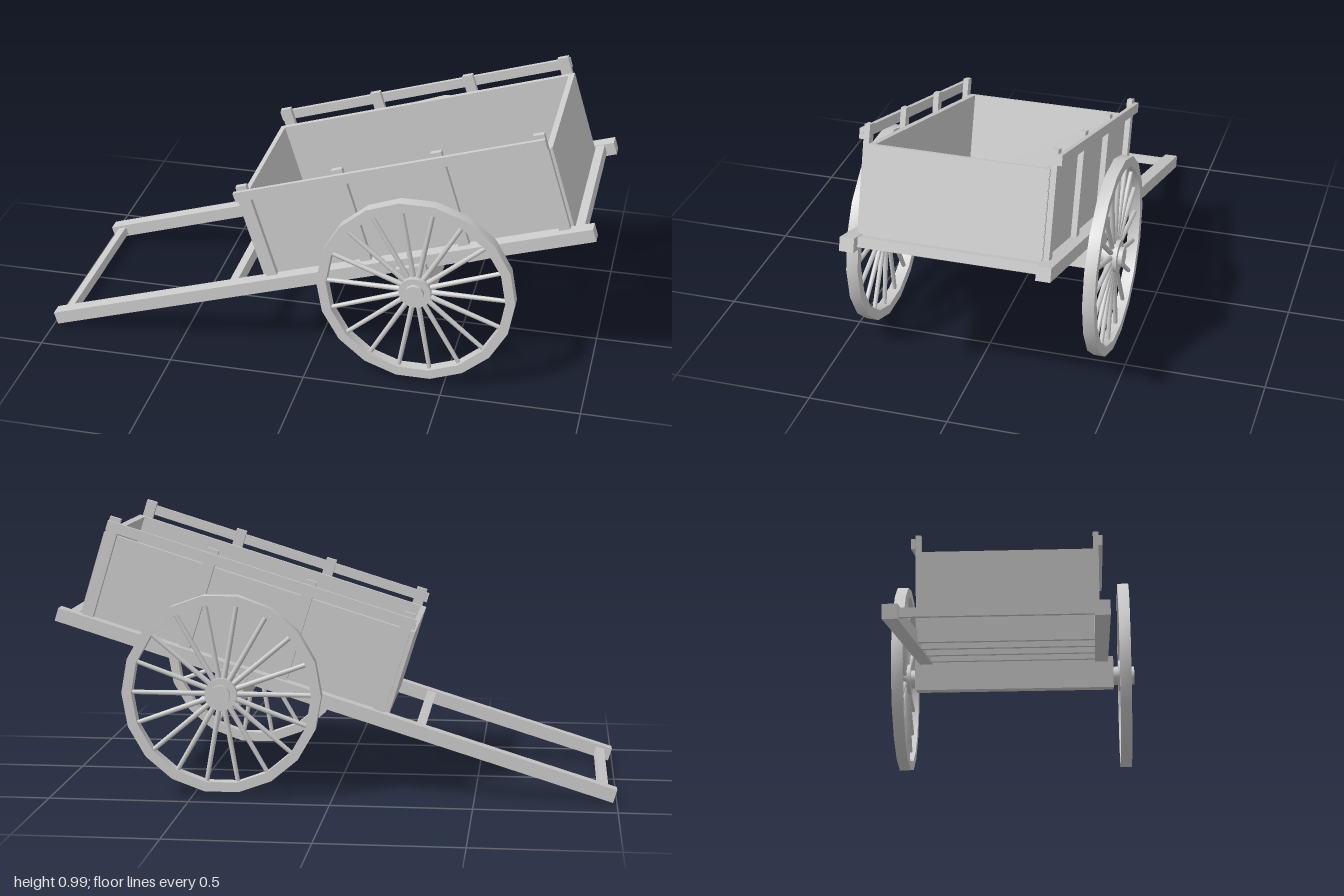
import * as THREE from 'three';
import { toCreasedNormals } from 'three/addons/utils/BufferGeometryUtils.js';

const material = new THREE.MeshStandardMaterial({ color: 0xcccccc });

// Box given by its extents along x, y and z
function board(parent, name, [x0, x1], [y0, y1], [z0, z1]) {
  const mesh = new THREE.Mesh(new THREE.BoxGeometry(x1 - x0, y1 - y0, z1 - z0), material);
  mesh.name = name;
  mesh.position.set((x0 + x1) / 2, (y0 + y1) / 2, (z0 + z1) / 2);
  parent.add(mesh);
}

// Cylinder along z
function drum(parent, name, radius, z0, z1) {
  const geometry = new THREE.CylinderGeometry(radius, radius, z1 - z0, 18).rotateX(Math.PI / 2);
  const mesh = new THREE.Mesh(geometry, material);
  mesh.name = name;
  mesh.position.z = (z0 + z1) / 2;
  parent.add(mesh);
}

function polygon(radius, sides, Type) {
  const points = [];
  for (let i = 0; i < sides; i++) {
    const a = (i / sides) * Math.PI * 2;
    points.push(new THREE.Vector2(Math.cos(a) * radius, Math.sin(a) * radius));
  }
  return new Type(points);
}

function createWheel(name, side) {
  const wheel = new THREE.Group();
  wheel.name = name;
  const count = 18;

  // Rim
  const ring = polygon(0.355, count, THREE.Shape);
  ring.holes.push(polygon(0.32, count, THREE.Path));
  const rimGeometry = toCreasedNormals(
    new THREE.ExtrudeGeometry(ring, { depth: 0.042, bevelEnabled: false }), 0.6);
  const rim = new THREE.Mesh(rimGeometry, material);
  rim.name = 'rim';
  rim.position.z = -0.021;
  wheel.add(rim);

  // Spokes
  const spokeGeometry = new THREE.CylinderGeometry(0.008, 0.01, 0.285, 8).translate(0, 0.1825, 0);
  for (let i = 0; i < count; i++) {
    const spoke = new THREE.Mesh(spokeGeometry, material);
    spoke.name = 'spoke';
    spoke.rotation.z = (i / count) * Math.PI * 2 - Math.PI / 2;
    wheel.add(spoke);
  }

  // Hub and axle end
  drum(wheel, 'hub', 0.058, -0.023, 0.023);
  drum(wheel, 'axleEnd', 0.035, -0.05, 0.038);
  wheel.position.set(0.39, 0.375, side * 0.422);
  if (side < 0) wheel.rotation.y = Math.PI;
  return wheel;
}

export function createModel() {
  const model = new THREE.Group();
  model.name = 'handcart';

  // Everything but the wheels tilts forward onto the handles
  const body = new THREE.Group();
  body.name = 'body';
  body.rotation.z = 0.3002;
  body.position.y = 0.331;
  model.add(body);

  for (const s of [-1, 1]) {
    const span = (a, b) => (s > 0 ? [a, b] : [-b, -a]);
    board(body, 'shaft', [-1.04, 1.04], [-0.024, 0.024], span(0.31, 0.36));
    board(body, 'sidePanel', [-0.195, 0.965], [0.005, 0.328], span(0.29, 0.31));
    board(body, 'topRail', [-0.19, 0.958], [0.341, 0.377], span(0.33, 0.345));
    // Side posts standing on the shaft
    for (let i = 0; i < 4; i++) {
      const x = -0.158 + i * 0.365;
      board(body, 'sidePost', [x - 0.02, x + 0.02], [0.02, 0.392], span(0.31, 0.33));
    }
  }

  // End boards
  board(body, 'frontBoard', [-0.195, -0.175], [0.005, 0.328], [-0.29, 0.29]);
  board(body, 'tailBoard', [0.945, 0.967], [0.005, 0.328], [-0.308, 0.308]);

  // Floor planks with gaps
  for (const z of [-0.21, -0.07, 0.07, 0.21]) {
    board(body, 'floorPlank', [-0.19, 0.96], [0.005, 0.024], [z - 0.059, z + 0.059]);
  }

  // Cross bars under the floor
  for (let i = 0; i < 6; i++) {
    const x = -0.17 + i * 0.21;
    board(body, 'floorBearer', [x - 0.018, x + 0.018], [-0.022, 0.005], [-0.31, 0.31]);
  }
  board(body, 'handleBar', [-1.012, -0.98], [-0.015, 0.015], [-0.31, 0.31]);
  board(body, 'frontCrossBar', [-0.332, -0.298], [-0.015, 0.02], [-0.31, 0.31]);
  board(body, 'rearCrossBar', [0.972, 1.005], [-0.012, 0.022], [-0.31, 0.31]);

  // Axle beam
  board(body, 'axleBeam', [0.32, 0.432], [-0.122, -0.003], [-0.38, 0.38]);

  model.add(createWheel('leftWheel', 1), createWheel('rightWheel', -1));
  return model;
}
